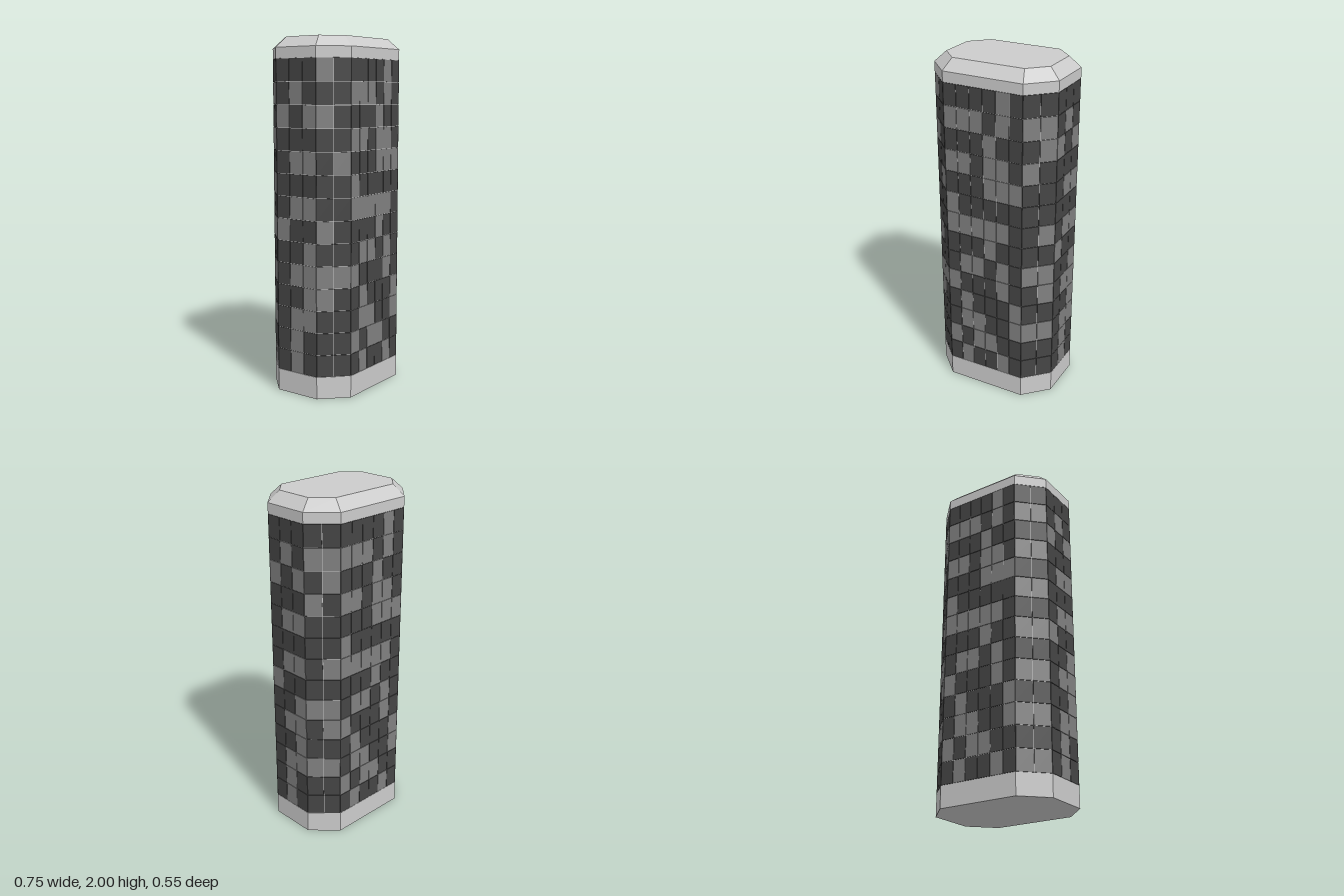
import * as THREE from 'three';
import { ConvexGeometry } from 'three/addons/geometries/ConvexGeometry.js';
import { mergeGeometries } from 'three/addons/utils/BufferGeometryUtils.js';

const HX = 0.375, HZ = 0.273, CUT = 0.136;
const BASE_TOP = 0.125, WALL_TOP = 1.88, RIM_TOP = 1.94, TOP = 2;

// Corners [x, z] of a chamfered rectangle, left to right as seen from outside
function octagon(hx, hz, cut) {
  const x = hx - cut, z = hz - cut;
  return [[-x, hz], [x, hz], [hx, z], [hx, -z], [x, -hz], [-x, -hz], [-hx, -z], [-hx, z]];
}

// Solid hull through octagonal sections given as [y, hx, hz, cut]
function solid(name, material, sections) {
  const points = sections.flatMap(([y, hx, hz, cut]) =>
    octagon(hx, hz, cut).map(([x, z]) => new THREE.Vector3(x, y, z)));
  const mesh = new THREE.Mesh(new ConvexGeometry(points), material);
  mesh.name = name;
  return mesh;
}

// Window rows from top to bottom; 1 is a light pane
const LONG = ['000010', '111010', '000100', '110110', '000111', '100000', '111110',
  '000100', '011010', '100010', '010001', '011001', '101100', '010010'];
const SHORT = ['000', '010', '101', '000', '011', '000', '011',
  '100', '001', '011', '001', '011', '010', '010'];
const RIGHT_CHAMFER = ['00', '11', '01', '10', '00', '00', '01',
  '00', '11', '01', '00', '11', '00', '00'];
const LEFT_CHAMFER = ['10', '00', '10', '00', '01', '00', '00',
  '10', '00', '11', '10', '00', '00', '00'];
const BACK_CHAMFER = LONG.map((_, i) => (i % 2 ? '11' : '00'));
const FACES = [
  ['front', LONG], ['frontLeftChamfer', RIGHT_CHAMFER], ['leftSide', SHORT],
  ['backLeftChamfer', RIGHT_CHAMFER], ['back', LONG], ['backRightChamfer', BACK_CHAMFER],
  ['rightSide', SHORT], ['frontRightChamfer', LEFT_CHAMFER],
];

export function createModel() {
  const group = new THREE.Group();
  group.name = 'towerBlock';
  const grey = new THREE.MeshStandardMaterial({ color: 0xcccccc, flatShading: true });
  const paneMaterials = [0x454545, 0x808080].map(color => new THREE.MeshStandardMaterial({ color }));

  // Plinth, inner core behind the panes, and roof with a sloped edge
  const inset = 0.004;
  group.add(
    solid('base', grey, [[0, HX, HZ, CUT], [BASE_TOP, HX, HZ, CUT]]),
    solid('core', grey, [[BASE_TOP, HX - inset, HZ - inset, CUT], [WALL_TOP, HX - inset, HZ - inset, CUT]]),
    solid('roof', grey, [[WALL_TOP, HX, HZ, CUT], [RIM_TOP, HX, HZ, CUT], [TOP, 0.313, 0.21, 0.099]]),
  );

  // Grid of window panes on each of the eight walls
  const corners = octagon(HX, HZ, CUT);
  const gap = 0.003, depth = 0.005;
  FACES.forEach(([name, rows], f) => {
    const [ax, az] = corners[f], [bx, bz] = corners[(f + 1) % 8];
    const dx = bx - ax, dz = bz - az;
    const length = Math.hypot(dx, dz);
    const nx = -dz / length, nz = dx / length;
    const rowHeight = (WALL_TOP - BASE_TOP) / rows.length;
    const panes = [[], []];
    rows.forEach((row, r) => {
      [...row].forEach((tone, c) => {
        const t = (c + 0.5) / row.length;
        const pane = new THREE.BoxGeometry(length / row.length - gap, rowHeight - gap, depth);
        pane.rotateY(Math.atan2(nx, nz));
        pane.translate(ax + dx * t - nx * depth / 2, WALL_TOP - (r + 0.5) * rowHeight, az + dz * t - nz * depth / 2);
        panes[Number(tone)].push(pane);
      });
    });
    panes.forEach((list, tone) => {
      if (!list.length) return;
      const mesh = new THREE.Mesh(mergeGeometries(list), paneMaterials[tone]);
      mesh.name = name + (tone ? 'LightWindows' : 'DarkWindows');
      group.add(mesh);
    });
  });
  return group;
}
